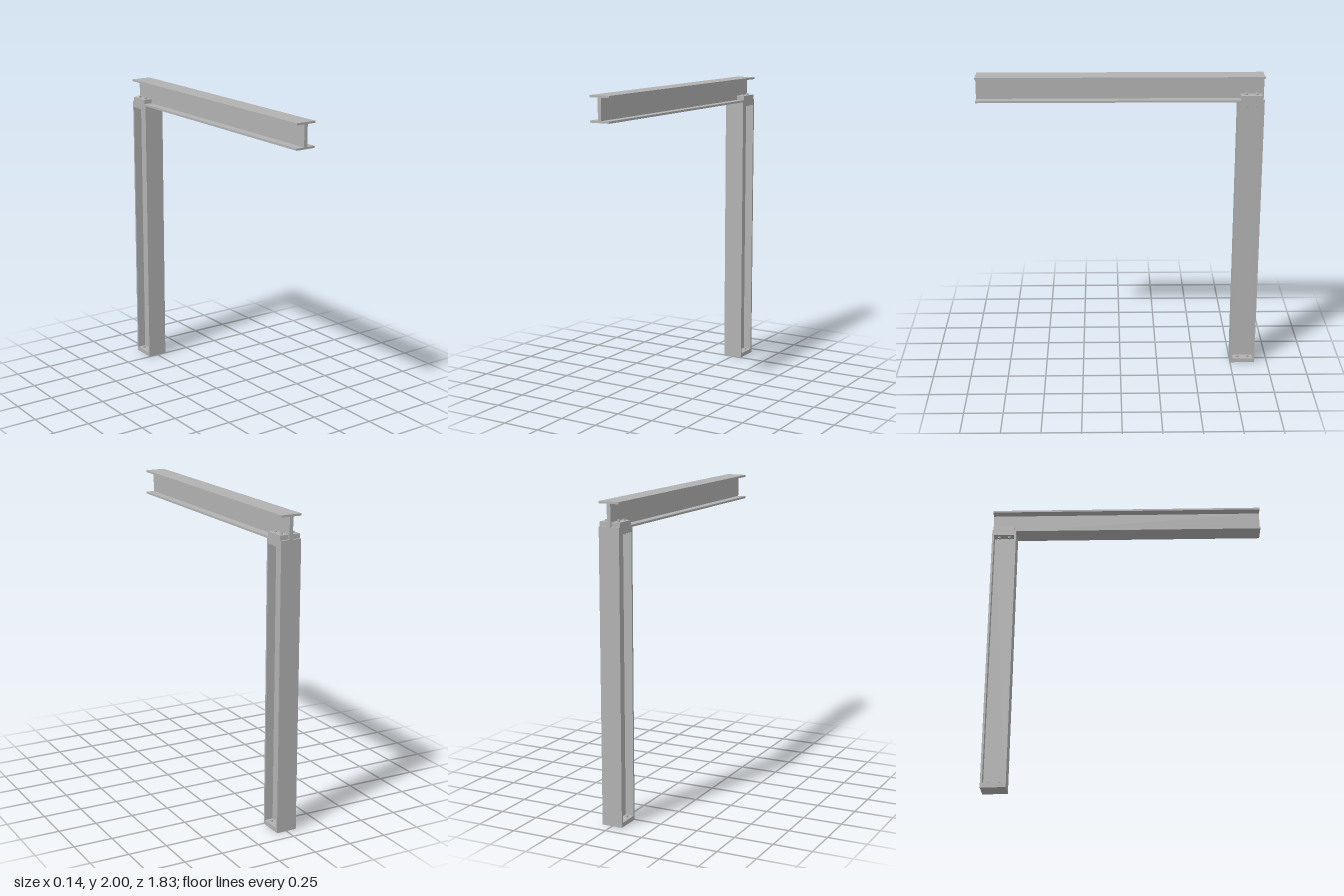
import * as THREE from 'three';

export function createModel() {
  const model = new THREE.Group();
  const steel = new THREE.MeshStandardMaterial({ color: 0xb2b2b2 });
  steel.name = 'grey steel';

  const W = 0.136, FLANGE = 0.013, WEB = 0.024;
  const END = -0.915;        // rear face shared by beam and column
  const COL_TOP = 1.837;     // beam rests here
  const COL_DEPTH = 0.163;
  const COL_Z = END + COL_DEPTH / 2;

  const add = (name, geometry, x, y, z) => {
    const mesh = new THREE.Mesh(geometry, steel);
    mesh.name = name;
    mesh.position.set(x, y, z);
    model.add(mesh);
    return mesh;
  };
  const box = (name, w, h, d, x, y, z) => add(name, new THREE.BoxGeometry(w, h, d), x, y, z);

  // I-section extruded along z, its depth running along y
  const iSection = (depth, length) => {
    const w = W / 2, h = depth / 2, t = WEB / 2, f = h - FLANGE;
    const half = [[w, -h], [w, -f], [t, -f], [t, f], [w, f], [w, h]];
    const points = [...half, ...half.map(([x, y]) => [-x, -y])];
    const shape = new THREE.Shape(points.map(([x, y]) => new THREE.Vector2(x, y)));
    return new THREE.ExtrudeGeometry(shape, { depth: length, bevelEnabled: false })
      .translate(0, 0, -length / 2);
  };

  // Main members
  const beamDepth = 2 - COL_TOP;
  add('beam', iSection(beamDepth, -2 * END), 0, COL_TOP + beamDepth / 2, 0);
  add('column', iSection(COL_DEPTH, COL_TOP).rotateX(-Math.PI / 2), 0, COL_TOP / 2, COL_Z);

  // Plates and hexagonal bolts on both sides of the webs
  const plateW = (W - WEB) / 2, plateD = COL_DEPTH - 2 * FLANGE, plateH = 0.029;
  const boltH = 0.011;
  const levels = [
    { name: 'base', y: 0, up: 1 },
    { name: 'cap', y: COL_TOP - plateH, up: -1 },
    { name: 'beamSeat', y: COL_TOP + FLANGE, up: 1 },
  ];
  for (const side of [-1, 1]) {
    for (const { name, y, up } of levels) {
      const mid = y + plateH / 2;
      box(name + 'Plate', plateW, plateH, plateD, side * (WEB + plateW) / 2, mid, COL_Z);
      for (const dz of [-0.034, 0.034]) {
        const hex = new THREE.CylinderGeometry(0.011, 0.011, boltH, 6).toNonIndexed();
        hex.computeVertexNormals();
        hex.rotateY(Math.PI / 6);
        add(name + 'Bolt', hex, side * 0.039, mid + up * (plateH + boltH) / 2, COL_Z + dz);
      }
    }
  }
  return model;
}
